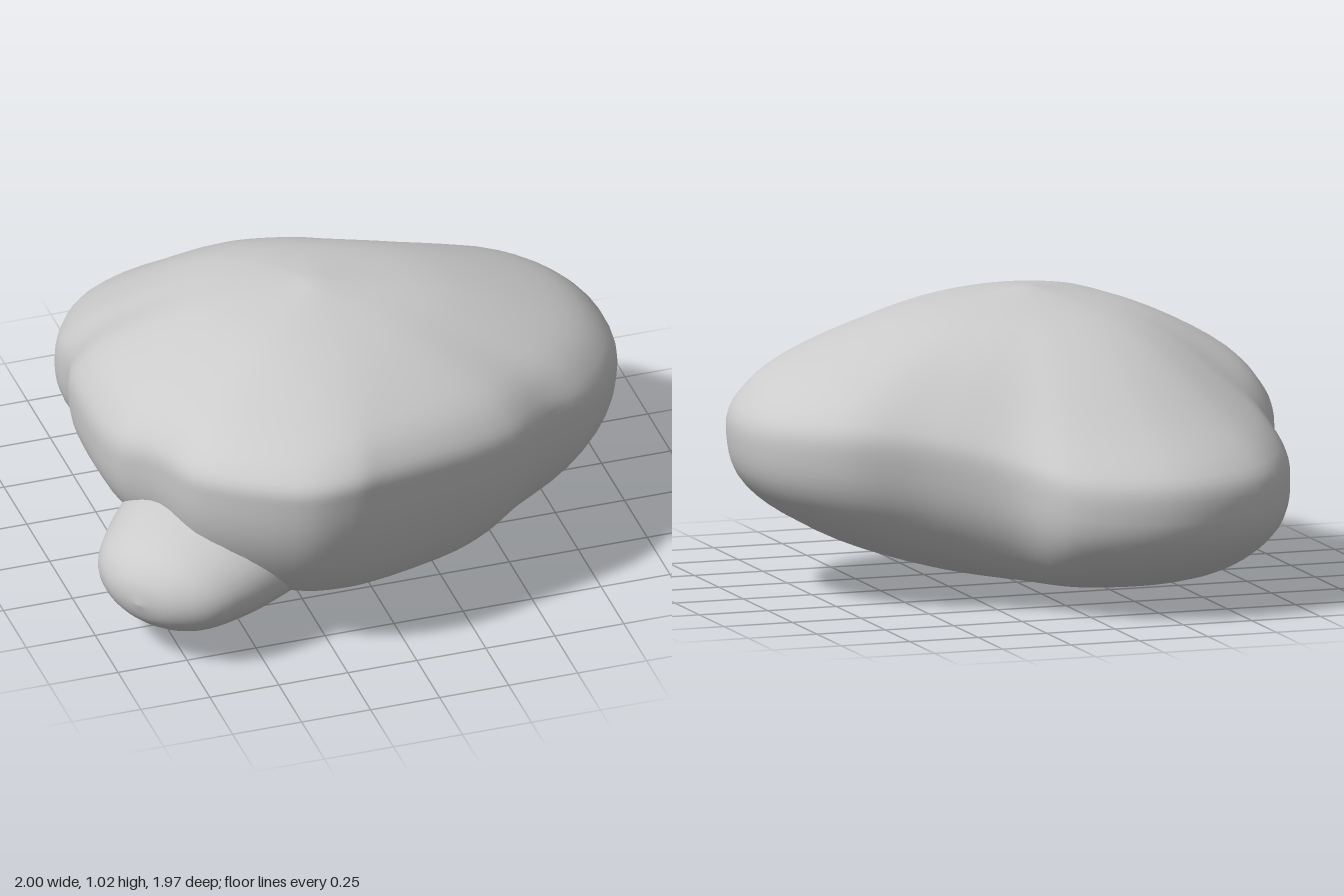
import * as THREE from 'three';
import { mergeVertices } from 'three/addons/utils/BufferGeometryUtils.js';

const AROUND = 96, ROWS = 40;
const TOP = 1.02;
const AXIS = new THREE.Vector3(-0.07, 0, 0.09);
const material = new THREE.MeshStandardMaterial({ color: 0xcccccc });

// Widest line around the boulder (x, y, z), starting at the back
const ridge = new THREE.CatmullRomCurve3([
  [-0.27, 0.35, -0.99], [0.08, 0.36, -0.88], [0.25, 0.42, -0.68], [0.5, 0.5, -0.54],
  [0.79, 0.54, -0.41], [0.98, 0.54, -0.14], [0.98, 0.54, 0.23], [0.81, 0.55, 0.49],
  [0.62, 0.58, 0.61], [0.42, 0.62, 0.77], [-0.08, 0.68, 0.94], [-0.22, 0.69, 0.98],
  [-0.4, 0.68, 0.96], [-0.7, 0.66, 0.73], [-0.78, 0.62, 0.48], [-0.87, 0.57, 0.3],
  [-0.87, 0.53, -0.17], [-0.8, 0.45, -0.4], [-0.78, 0.38, -0.61], [-0.6, 0.35, -0.88],
].map((p) => new THREE.Vector3(...p)), true);

// Half section: share of the ridge radius, share of the height above or below it
const section = new THREE.SplineCurve([
  [0, -1], [0.4, -0.86], [0.75, -0.61], [0.95, -0.32], [1, 0],
  [0.97, 0.27], [0.82, 0.55], [0.45, 0.855], [0, 1],
].map((p) => new THREE.Vector2(...p)));

// Ridge with its bumps averaged away, used towards the two poles
function softRidge(u) {
  const sum = new THREE.Vector3();
  for (let k = -4; k <= 4; k++) sum.add(ridge.getPoint((u + k * 0.035 + 1) % 1));
  return sum.divideScalar(9).sub(AXIS).multiply(new THREE.Vector3(1.08, 1, 1.08)).add(AXIS);
}

function surfacePoint(sharp, soft, v) {
  const { x: out, y: rise } = section.getPoint(v);
  const share = Math.min(1, Math.max(0, out));
  const edge = soft.clone().lerp(sharp, share ** 1.4);
  const dx = edge.x - AXIS.x, dz = edge.z - AXIS.z;
  const facing = dz / Math.hypot(dx, dz);
  const height = rise > 0 ? TOP - edge.y : edge.y;
  // The back shoulder sags; the underside is fuller at front and back
  const sag = rise > 0
    ? 0.08 * Math.max(0, -facing) ** 2 * Math.sin(Math.PI * share ** 4.5)
    : (facing > 0 ? 0.1 : 0.06) * Math.abs(facing) * Math.sin(Math.PI * share ** 3);
  return [AXIS.x + dx * out, edge.y + height * rise - sag, AXIS.z + dz * out];
}

function boulderGeometry() {
  const positions = [], index = [];
  for (let i = 0; i < AROUND; i++) {
    const sharp = ridge.getPoint(i / AROUND), soft = softRidge(i / AROUND);
    for (let j = 0; j <= ROWS; j++) {
      positions.push(...surfacePoint(sharp, soft, j / ROWS));
      if (j === ROWS) continue;
      const a = i * (ROWS + 1) + j;
      const b = ((i + 1) % AROUND) * (ROWS + 1) + j;
      index.push(a, a + 1, b, b, a + 1, b + 1);
    }
  }
  const geometry = new THREE.BufferGeometry();
  geometry.setAttribute('position', new THREE.Float32BufferAttribute(positions, 3));
  geometry.setIndex(index);
  const merged = mergeVertices(geometry, 1e-5);
  merged.computeVertexNormals();
  return merged;
}

// Flattened knob that widens into the boulder, low at the front right
function knobMesh() {
  const base = new THREE.Vector3(-0.36, 0.33, 0.33);
  const tip = new THREE.Vector3(-0.925, 0.25, 0.74);
  const profile = new THREE.SplineCurve([
    [0.4, 0], [0.36, 0.25], [0.32, 0.43], [0.25, 0.59], [0.13, 0.675], [0, 0.7],
  ].map((p) => new THREE.Vector2(...p)));
  const mesh = new THREE.Mesh(new THREE.LatheGeometry(profile.getPoints(20), 40), material);
  const along = tip.clone().sub(base).normalize();
  const across = new THREE.Vector3(along.z, 0, -along.x).normalize();
  const thick = across.clone().cross(along);
  mesh.quaternion.setFromRotationMatrix(new THREE.Matrix4().makeBasis(across, along, thick));
  mesh.position.copy(base);
  mesh.scale.z = 0.63;
  mesh.name = 'knob';
  return mesh;
}

export function createModel() {
  const group = new THREE.Group();
  group.name = 'rock';
  const boulder = new THREE.Mesh(boulderGeometry(), material);
  boulder.name = 'boulder';
  group.add(boulder, knobMesh());
  return group;
}
